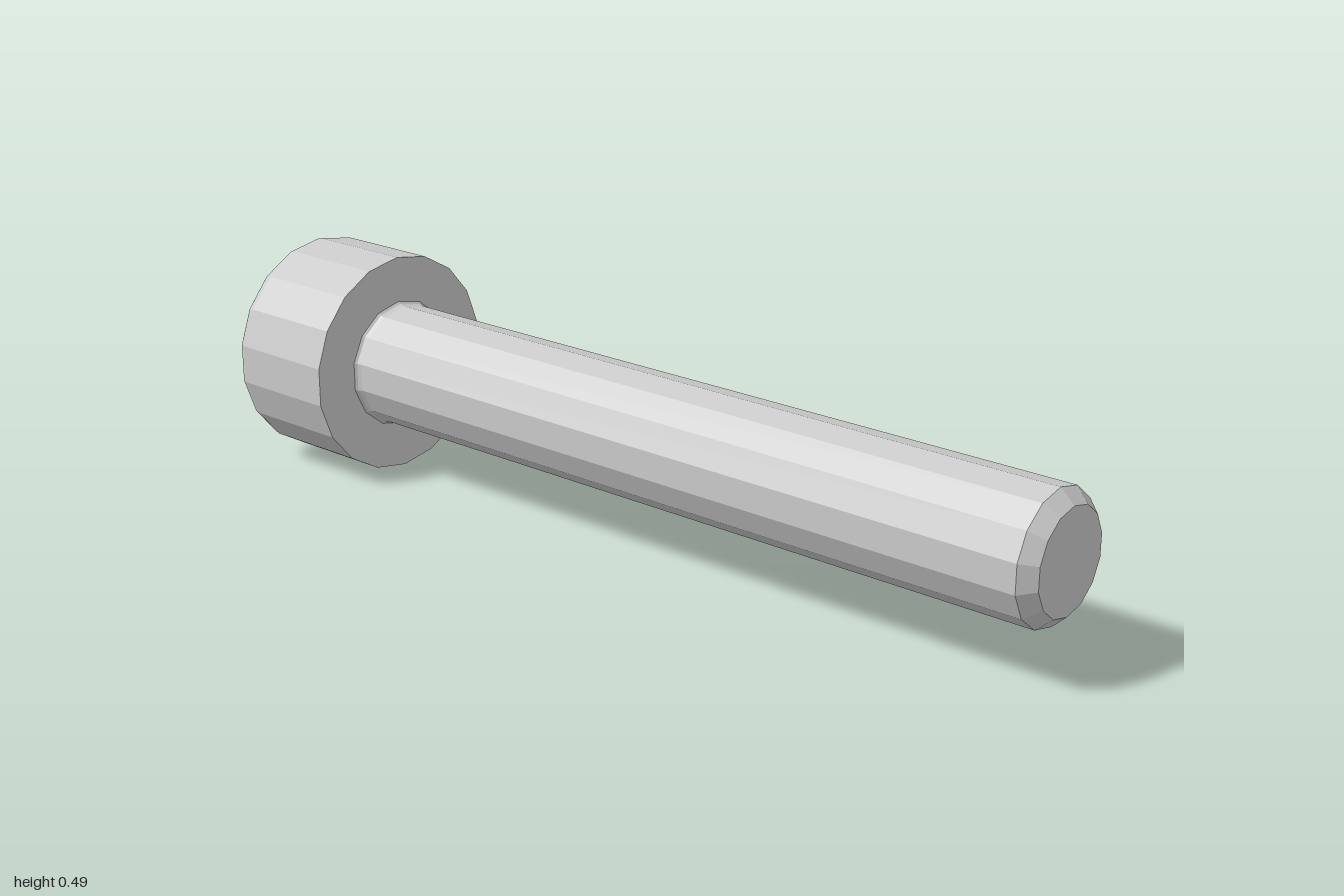
import * as THREE from 'three';

const HEAD_SIDES = 18, SHANK_SIDES = 14;
const HEAD_R = 0.244, FACE_R = 0.236, HEX_R = 0.127;

const material = new THREE.MeshStandardMaterial({ color: 0xcccccc, flatShading: true });

function addMesh(group, name, geometry) {
  const mesh = new THREE.Mesh(geometry, material);
  mesh.name = name;
  group.add(mesh);
}

// Turns a profile of [x, radius] pairs around the x axis, one corner straight down
function turned(profile, sides) {
  const points = profile.map(([x, r]) => new THREE.Vector2(r, x));
  return new THREE.LatheGeometry(points, sides, Math.PI / 2).rotateZ(-Math.PI / 2);
}

// Corners of a regular polygon, one corner straight up
function polygon(radius, sides) {
  return Array.from({ length: sides }, (_, i) => {
    const a = Math.PI / 2 + (i / sides) * Math.PI * 2;
    return new THREE.Vector2(Math.cos(a) * radius, Math.sin(a) * radius);
  });
}

export function createModel() {
  const screw = new THREE.Group();
  screw.name = 'socketHeadScrew';

  // Cylindrical head with a softened outer rim and a flat bearing face
  addMesh(screw, 'head', turned([
    [-1, FACE_R], [-0.994, 0.241], [-0.98, HEAD_R], [-0.73, HEAD_R], [-0.73, 0.12],
  ], HEAD_SIDES));

  // End face of the head, pierced by the hexagonal opening
  const face = new THREE.Shape(polygon(FACE_R, HEAD_SIDES));
  face.holes.push(new THREE.Path(polygon(HEX_R, 6)));
  addMesh(screw, 'headFace', new THREE.ShapeGeometry(face).rotateY(-Math.PI / 2).translate(-1, 0, 0));

  // Hexagonal socket: floor and inward-facing walls
  addMesh(screw, 'hexSocket', turned([[-0.885, 0], [-0.885, HEX_R], [-1, HEX_R]], 6));

  // Shank with a small neck fillet and a chamfered tip
  addMesh(screw, 'shank', turned([
    [-0.73, 0.143], [-0.725, 0.138], [-0.715, 0.135], [0.97, 0.135], [1, 0.107], [1, 0],
  ], SHANK_SIDES));

  screw.position.y = HEAD_R;
  return screw;
}
